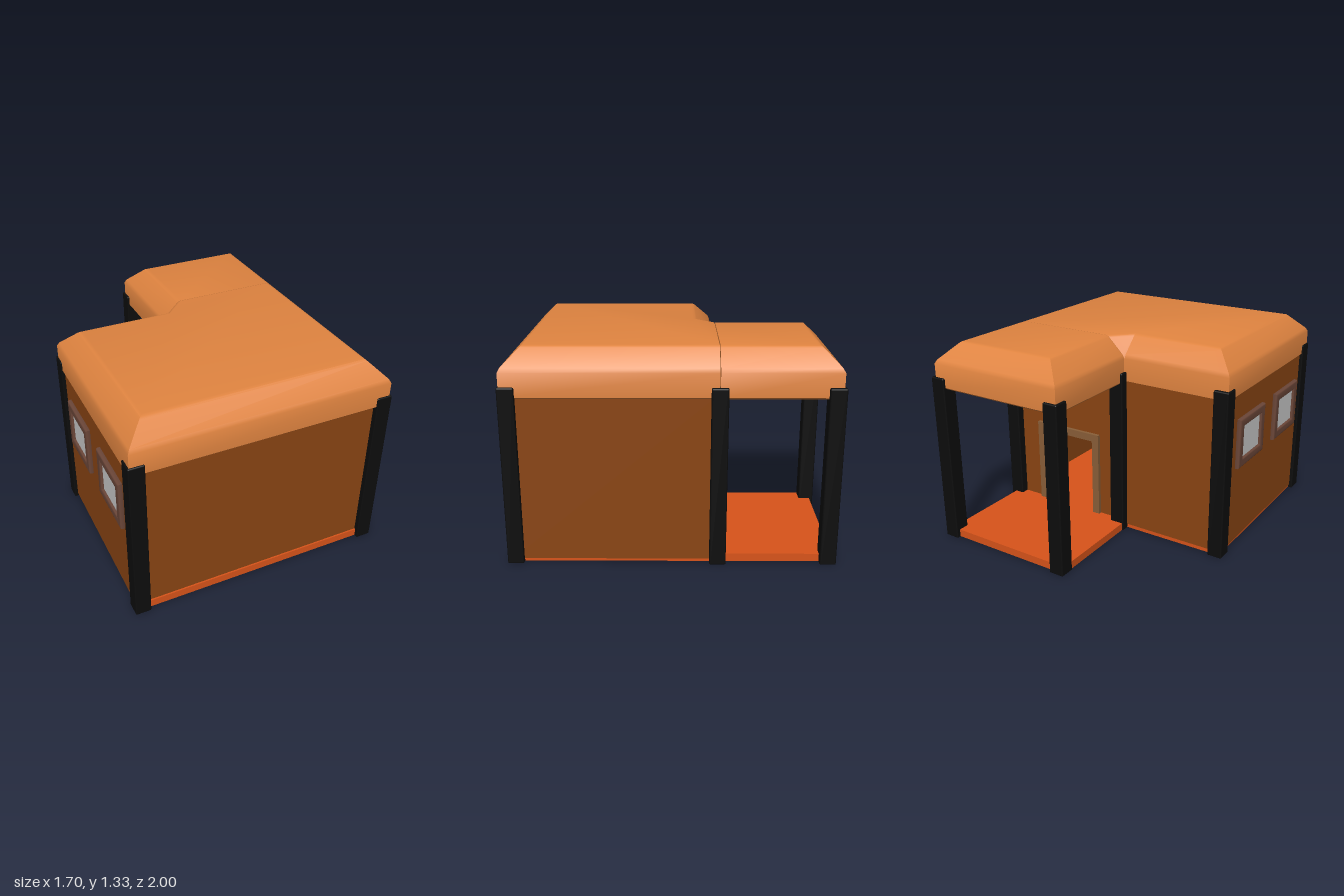
import * as THREE from 'three';
import { toCreasedNormals } from 'three/addons/utils/BufferGeometryUtils.js';
import { RoundedBoxGeometry } from 'three/addons/geometries/RoundedBoxGeometry.js';

const mat = (color) => new THREE.MeshStandardMaterial({ color });
const MAT = {
  roof: mat(0xe08440), wall: mat(0x8b4513), floor: mat(0xd9541a), post: mat(0x0d0d0d),
  doorFrame: mat(0x8a5f38), windowFrame: mat(0x6b4638), glass: mat(0xcccccc),
};

function add(parent, name, geometry, material, x = 0, y = 0, z = 0) {
  const mesh = new THREE.Mesh(geometry, material);
  mesh.name = name;
  mesh.position.set(x, y, z);
  parent.add(mesh);
  return mesh;
}

// Box given by its minimum and maximum corners
function boxBetween(parent, name, material, a, b) {
  const s = b.map((v, i) => v - a[i]);
  const c = b.map((v, i) => (v + a[i]) / 2);
  return add(parent, name, new THREE.BoxGeometry(...s), material, ...c);
}

const polygon = (pts) => new THREE.Shape(pts.map(([x, y]) => new THREE.Vector2(x, y)));

const rectangle = (w, h) => polygon([
  [-w / 2, -h / 2], [w / 2, -h / 2], [w / 2, h / 2], [-w / 2, h / 2],
]);

// Roof block: corners [x, z, inward x, inward z], stacked along an [inset, y] profile
function roofGeometry(corners) {
  const profile = [[0.01, 1.04], [0, 1.05], [0, 1.195], [0.013, 1.22], [0.112, 1.317], [0.122, 1.325], [0.14, 1.33]];
  const rings = profile.map(([d, y]) =>
    corners.map(([x, z, ix, iz]) => new THREE.Vector3(x + ix * d, y, z + iz * d)));
  const out = [];
  const tri = (...p) => p.forEach((v) => out.push(v.x, v.y, v.z));
  for (let r = 0; r < rings.length - 1; r++) {
    for (let i = 0; i < corners.length; i++) {
      const j = (i + 1) % corners.length;
      const a = rings[r], b = rings[r + 1];
      tri(a[i], a[j], b[j]);
      tri(a[i], b[j], b[i]);
    }
  }
  // Flat top and underside
  const cap = (ring, up) => {
    const flat = ring.map((v) => new THREE.Vector2(v.x, -v.z));
    for (const [a, b, c] of THREE.ShapeUtils.triangulateShape(flat, [])) {
      if (up) tri(ring[a], ring[b], ring[c]);
      else tri(ring[a], ring[c], ring[b]);
    }
  };
  cap(rings[rings.length - 1], true);
  cap(rings[0], false);
  const g = new THREE.BufferGeometry();
  g.setAttribute('position', new THREE.Float32BufferAttribute(out, 3));
  return toCreasedNormals(g, 0.5);
}

// Bevelled rectangular frame with a pane, facing +z
function makeWindow() {
  const group = new THREE.Group();
  const w = 0.375, h = 0.33, bevel = 0.012;
  const shape = rectangle(w - 2 * bevel, h - 2 * bevel);
  shape.holes.push(rectangle(w - 0.09, h - 0.09));
  const frame = new THREE.ExtrudeGeometry(shape, {
    depth: 0.015, bevelThickness: bevel, bevelSize: bevel, bevelSegments: 3,
  });
  add(group, 'windowFrame', toCreasedNormals(frame, 0.6), MAT.windowFrame);
  add(group, 'windowPane', new THREE.BoxGeometry(w - 0.08, h - 0.08, 0.012), MAT.glass, 0, 0, 0.005);
  return group;
}

export function createModel() {
  const house = new THREE.Group();
  house.name = 'house';

  // L-shaped floor slab under house and porch
  const floor = new THREE.ExtrudeGeometry(polygon([
    [-0.815, -0.97], [0.805, -0.97], [0.805, 0.975], [-0.118, 0.975], [-0.118, 0.275], [-0.815, 0.275],
  ]), { depth: 0.05, bevelEnabled: false });
  floor.rotateX(-Math.PI / 2);
  add(house, 'floor', floor, MAT.floor, 0, 0.005, 0);

  // Solid walls
  boxBetween(house, 'frontWall', MAT.wall, [-0.8, 0.055, 0.93], [0.8, 1.06, 0.96]);
  boxBetween(house, 'leftWall', MAT.wall, [0.785, 0.025, -0.265], [0.812, 1.06, 0.96]);
  boxBetween(house, 'rightWall', MAT.wall, [-0.822, 0.025, -0.265], [-0.795, 1.06, 0.96]);

  // Back wall with the doorway notched out
  const backWall = new THREE.ExtrudeGeometry(polygon([
    [-0.815, 0.03], [0.12, 0.03], [0.12, 0.6], [0.56, 0.6], [0.56, 0.03], [0.805, 0.03],
    [0.805, 1.06], [-0.815, 1.06],
  ]), { depth: 0.03, bevelEnabled: false });
  add(house, 'backWall', backWall, MAT.wall, 0, 0, -0.277);

  // Door surround: two jambs and a lintel
  const doorFrame = new THREE.ExtrudeGeometry(polygon([
    [0.09, 0.003], [0.14, 0.003], [0.14, 0.585], [0.545, 0.585], [0.545, 0.003], [0.595, 0.003],
    [0.595, 0.635], [0.09, 0.635],
  ]), { depth: 0.07, bevelEnabled: false });
  add(house, 'doorFrame', doorFrame, MAT.doorFrame, 0, 0, -0.3);

  // Corner posts
  const postGeometry = new RoundedBoxGeometry(0.1, 1.11, 0.1, 2, 0.008);
  const posts = [
    [-0.795, 0.945], [0.785, 0.945], [-0.795, -0.25], [0.795, -0.28],
    [-0.075, -0.28], [-0.075, -0.95], [0.795, -0.95],
  ];
  for (const [x, z] of posts) add(house, 'post', postGeometry, MAT.post, x, 0.555, z);

  // Windows in the side wall
  for (const z of [0.078, 0.635]) {
    const win = makeWindow();
    win.name = 'window';
    win.position.set(-0.823, 0.715, z);
    win.rotation.y = -Math.PI / 2;
    house.add(win);
  }

  // Main roof, with a valley where the porch roof meets it
  add(house, 'mainRoof', roofGeometry([
    [-0.835, 0.985, 1, -1], [0.82, 0.985, -1, -1], [0.82, -0.278, -1, 0],
    [-0.11, -0.278, 1, 0], [-0.11, -0.278, 0, 1], [-0.835, -0.278, 1, 1],
  ]), MAT.roof);
  add(house, 'porchRoof', roofGeometry([
    [-0.11, -0.282, 1, 0], [0.82, -0.282, -1, 0], [0.82, -0.985, -1, 1], [-0.11, -0.985, 1, 1],
  ]), MAT.roof);

  return house;
}
